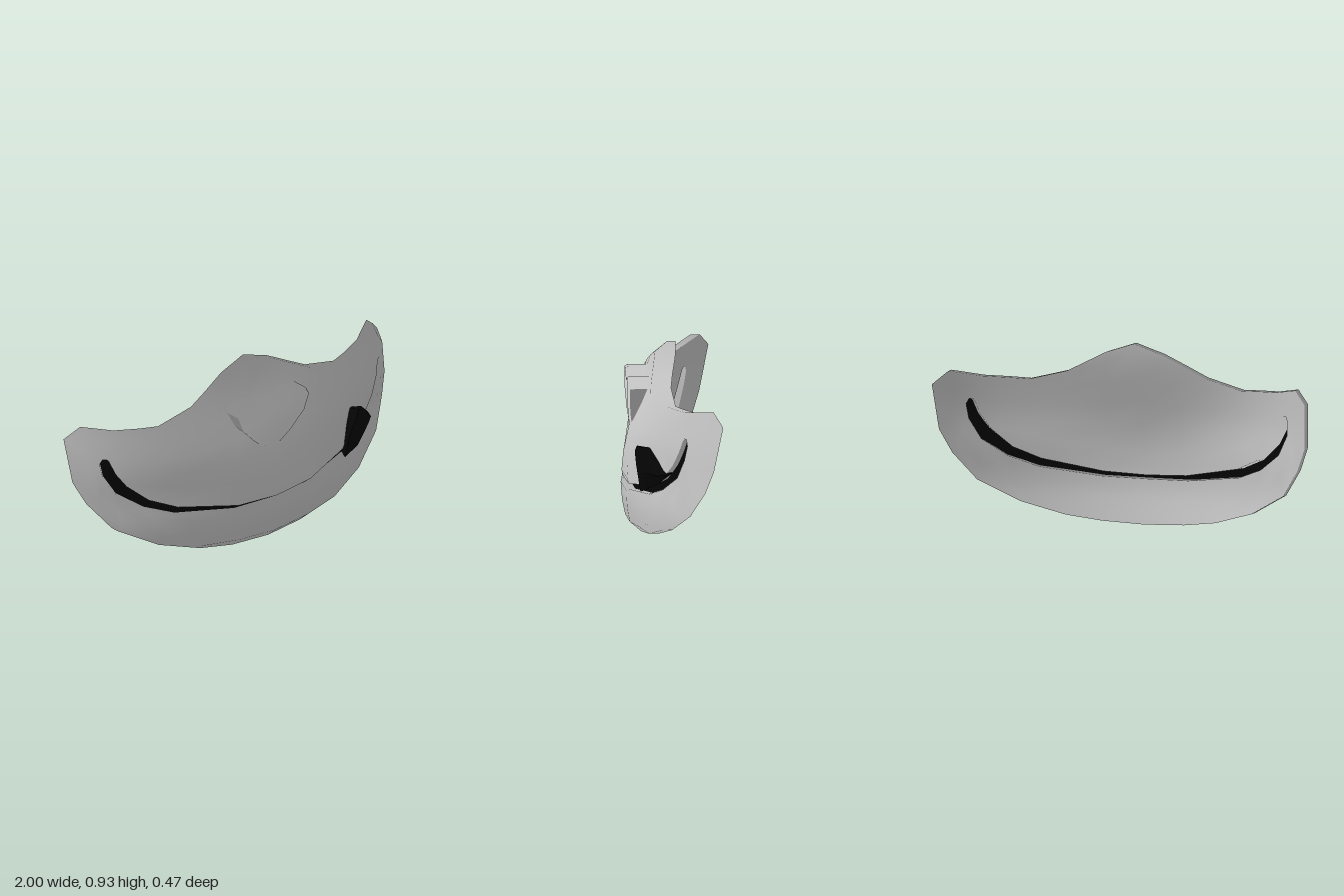
import * as THREE from 'three';
import { ConvexGeometry } from 'three/addons/geometries/ConvexGeometry.js';

const THICKNESS = 0.095, BEVEL = 0.05;

// Half outline of the shell, bottom centre -> right end -> top centre,
// paired with the half outline of the mouth slot.
const outer = [[0, 0], [.22, .01], [.4, .035], [.62, .1], [.82, .21], [.925, .35], [.98, .47], [1, .7],
  [.93, .765], [.79, .735], [.67, .727], [.57, .72], [.37, .77], [.27, .82], [.15, .88], [0, .93]];
const slot = [[0, .226], [.24, .23], [.567, .273], [.717, .328], [.845, .417], [.904, .52], [.914, .594], [.9, .62],
  [.88, .617], [.872, .604], [.85, .54], [.8, .465], [.695, .374], [.556, .315], [.235, .256], [0, .246]];

// Centre profile of the front surface: [y, z]
const profile = [[0, .2], [.05, .207], [.12, .222], [.21, .23], [.3, .224], [.41, .213], [.52, .185],
  [.62, .15], [.77, .095], [.89, .055], [.93, .05]];

// Front surface depth at any point: the profile, swept back towards the ends
function surface(x, y) {
  let i = 0;
  while (i < profile.length - 2 && y > profile[i + 1][0]) i++;
  const [y0, z0] = profile[i], [y1, z1] = profile[i + 1];
  const centre = z0 + (z1 - z0) * (y - y0) / (y1 - y0);
  const high = Math.max(0, y - 0.4);
  return centre - 0.33 * Math.pow(Math.abs(x), 2 + 4 * high) * (1 - 0.6 * high);
}

// Point sunk below the front surface; lean 1 follows the surface normal, 0 goes straight back
function sunk(x, y, depth, lean) {
  const inward = x * (1 - 0.6 * depth * lean);
  return [inward, y, surface(inward, y) - depth];
}

// Give every vertex the normal of the smooth front surface (sign -1 for the back)
function smoothNormals(g, sign) {
  const p = g.attributes.position, n = new THREE.Vector3(), h = 0.08, normals = [];
  for (let i = 0; i < p.count; i++) {
    const x = p.getX(i), y = p.getY(i);
    n.set(surface(x - h, y) - surface(x + h, y), surface(x, y - h) - surface(x, y + h), 2 * h);
    n.normalize().multiplyScalar(sign);
    normals.push(n.x, n.y, n.z);
  }
  g.setAttribute('normal', new THREE.Float32BufferAttribute(normals, 3));
  return g;
}

// Full loop from a half loop
const mirrorLoop = half => [...half, ...half.slice(1, -1).reverse().map(([x, y]) => [-x, y])];

// Quad mesh over rows of points, optionally joining the last row to the first
function loft(rows, closed, sign) {
  const n = rows.length, m = rows[0].length, index = [];
  for (let i = 0; i < (closed ? n : n - 1); i++) {
    for (let j = 0; j < m - 1; j++) {
      const a = i * m + j, b = ((i + 1) % n) * m + j;
      index.push(a, b, b + 1, a, b + 1, a + 1);
    }
  }
  const g = new THREE.BufferGeometry();
  g.setAttribute('position', new THREE.Float32BufferAttribute(rows.flat(2), 3));
  g.setIndex(index);
  return smoothNormals(g, sign);
}

// Curved shell as a ring from its rim to the slot: front with edge walls, and back
function shellGeometries() {
  const o = mirrorLoop(outer), s = mirrorLoop(slot);
  const steps = [0, .2, .4, .6, .8, .95];
  const front = [], back = [];
  o.forEach(([ox, oy], i) => {
    const [sx, sy] = s[i];
    const inset = Math.min(0.5, BEVEL / Math.hypot(sx - ox, sy - oy));
    const at = (t, depth) => sunk(ox + (sx - ox) * t, oy + (sy - oy) * t, depth, t);
    const inner = steps.map(k => inset + (1 - inset) * k);
    front.push([at(0, THICKNESS), at(0, BEVEL), ...inner.map(t => at(t, 0)), at(1, 0.01), at(1, THICKNESS)]);
    back.push([1, ...inner.reverse(), 0].map(t => at(t, THICKNESS)));
  });
  return [loft(front, true, 1), loft(back, true, -1)];
}

// Dark strip filling the slot, lower lip to upper lip
function mouthGeometry() {
  const sink = k => sunk(...slot[k], 0.045, 1);
  const half = slot.slice(0, 8).map((_, k) => [sink(k), sink(15 - k)]);
  const flip = half.slice(1).reverse().map(r => r.map(([x, y, z]) => [-x, y, z]));
  return loft([...flip, ...half], false, 1);
}

// Heart-shaped nose, its back sunk into the shell
function noseGeometry() {
  const half = [[.05, .525], [.11, .575], [.19, .66], [.22, .735], [.205, .762], [.12, .772], [0, .733]];
  const pts = [[0, .505], ...half, ...half.slice(0, -1).reverse().map(([x, y]) => [-x, y])];
  const shape = new THREE.Shape(pts.map(p => new THREE.Vector2(...p)));
  const g = new THREE.ExtrudeGeometry(shape, {
    depth: 0.13, bevelThickness: 0.012, bevelSize: 0.008, bevelSegments: 1
  });
  const p = g.attributes.position;
  for (let i = 0; i < p.count; i++) {
    const x = p.getX(i), y = p.getY(i), z = p.getZ(i);
    const front = z + 0.061 - Math.max(0, 0.62 - y) * 0.15;
    p.setZ(i, z < 0.06 ? surface(x, y) - 0.03 : front);
  }
  return smoothNormals(g, 1);
}

// Tusk rising from the lower lip
function tuskGeometry() {
  return new ConvexGeometry([
    [.5, .272, .15], [.505, .3, .1], [.6, .3, .13], [.7, .355, .065], [.745, .405, .03], [.735, .415, 0],
    [.52, .4, .165], [.55, .49, .18], [.57, .522, .17], [.605, .522, .15], [.6, .43, .175],
    [.56, .5, .06], [.663, .4, .135], [.727, .4, .08], [.65, .475, .1], [.7, .435, .075]
  ].map(p => new THREE.Vector3(...p)));
}

export function createModel() {
  const grey = new THREE.MeshStandardMaterial({ color: 0xcccccc });
  const black = new THREE.MeshStandardMaterial({ color: 0x050505 });
  const stripBlack = new THREE.MeshStandardMaterial({ color: 0x050505, side: THREE.DoubleSide });
  const model = new THREE.Group();
  const add = (name, geometry, material) => {
    const mesh = new THREE.Mesh(geometry, material);
    mesh.name = name;
    model.add(mesh);
  };
  const [front, back] = shellGeometries();
  add('shellFront', front, grey);
  add('shellBack', back, grey);
  add('nose', noseGeometry(), grey);
  add('mouth', mouthGeometry(), stripBlack);
  add('tusk', tuskGeometry(), black);
  return model;
}
